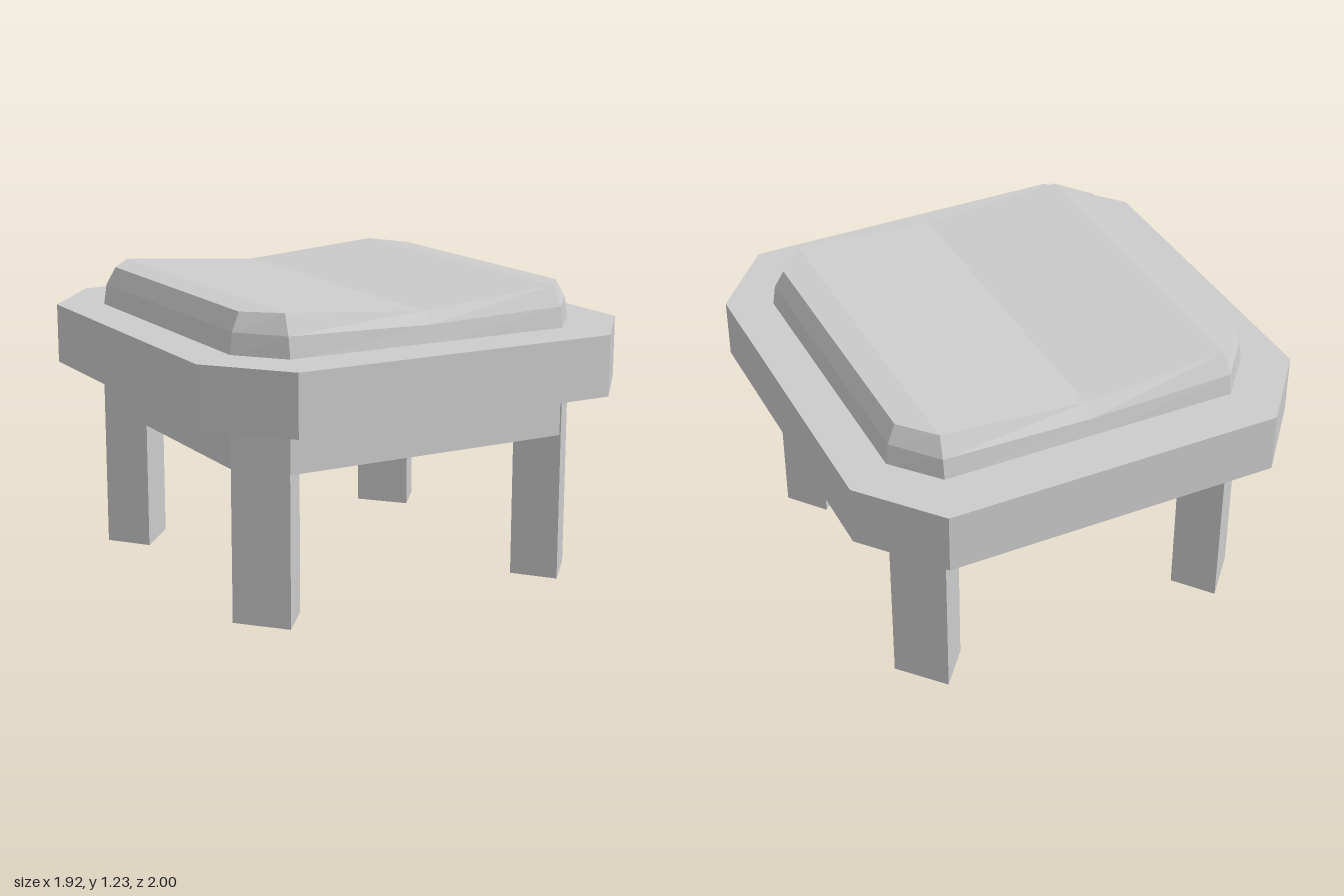
import * as THREE from 'three';

const material = new THREE.MeshStandardMaterial({ color: 0xcccccc, flatShading: true });

function addMesh(group, name, geometry) {
  const mesh = new THREE.Mesh(geometry, material);
  mesh.name = name;
  group.add(mesh);
}

// Square outline with cut corners: (a, d) is the end of the front edge, (w, b) of the side edge
function octagon(a, d, w, b) {
  return [[w, -b], [a, -d], [-a, -d], [-w, -b], [-w, b], [-a, d], [a, d], [w, b]]
    .map(([x, z]) => new THREE.Vector2(x, z));
}

// Upright prism from a plan outline
function prism(outline, y0, y1, hole) {
  const shape = new THREE.Shape(outline);
  if (hole) shape.holes.push(new THREE.Path(hole));
  const g = new THREE.ExtrudeGeometry(shape, { depth: y1 - y0, bevelEnabled: false });
  return g.rotateX(-Math.PI / 2).translate(0, y0, 0);
}

// Cushion ring, with an extra lower point in the middle of the front and back edges
function cushionRing({ a, d, w, b, ySide, yEdge, yMid }) {
  return [
    [w, ySide, b], [w, ySide, -b], [a, yEdge, -d], [0, yMid, -d], [-a, yEdge, -d],
    [-w, ySide, -b], [-w, ySide, b], [-a, yEdge, d], [0, yMid, d], [a, yEdge, d],
  ];
}

function cushionGeometry() {
  const rings = [
    { a: 0.62, d: 0.79, w: 0.78, b: 0.605, ySide: 1.05, yEdge: 1.05, yMid: 1.05 },
    { a: 0.62, d: 0.775, w: 0.767, b: 0.6, ySide: 1.145, yEdge: 1.145, yMid: 1.13 },
    { a: 0.61, d: 0.73, w: 0.73, b: 0.585, ySide: 1.218, yEdge: 1.225, yMid: 1.178 },
  ].map(cushionRing);
  const pos = [];
  const quad = (p, q, r, s) => pos.push(...p, ...q, ...r, ...p, ...r, ...s);
  const n = rings[0].length;
  // Rounded-over sides
  for (let k = 0; k < rings.length - 1; k++) {
    for (let i = 0; i < n; i++) {
      const j = (i + 1) % n;
      quad(rings[k][i], rings[k][j], rings[k + 1][j], rings[k + 1][i]);
    }
  }
  // Sagging top in strips running front to back
  const top = rings[rings.length - 1];
  const back = [1, 2, 3, 4, 5], front = [0, 9, 8, 7, 6];
  for (let i = 0; i < 4; i++) {
    quad(top[front[i]], top[back[i]], top[back[i + 1]], top[front[i + 1]]);
  }
  const g = new THREE.BufferGeometry();
  g.setAttribute('position', new THREE.Float32BufferAttribute(pos, 3));
  g.computeVertexNormals();
  return g;
}

export function createModel() {
  const stool = new THREE.Group();
  stool.name = 'stool';

  addMesh(stool, 'cushion', cushionGeometry());
  addMesh(stool, 'seatSlab', prism(octagon(0.7, 1.0, 0.96, 0.69), 0.81, 1.06));
  addMesh(stool, 'apron', prism(
    octagon(0.62, 0.79, 0.78, 0.61), 0.615, 0.81,
    octagon(0.56, 0.68, 0.67, 0.55),
  ));

  // Four legs set diagonally across the cut corners
  const plan = [[0.625, 0.792], [0.785, 0.612], [0.66, 0.455], [0.5, 0.635]];
  for (const [sx, sz, name] of [
    [1, 1, 'frontLeftLeg'], [-1, 1, 'frontRightLeg'],
    [1, -1, 'backLeftLeg'], [-1, -1, 'backRightLeg'],
  ]) {
    // Plan depth becomes -z after the prism is stood up
    const outline = plan.map(([x, z]) => new THREE.Vector2(sx * x, -sz * z));
    addMesh(stool, name, prism(outline, 0, 0.81));
  }
  return stool;
}
